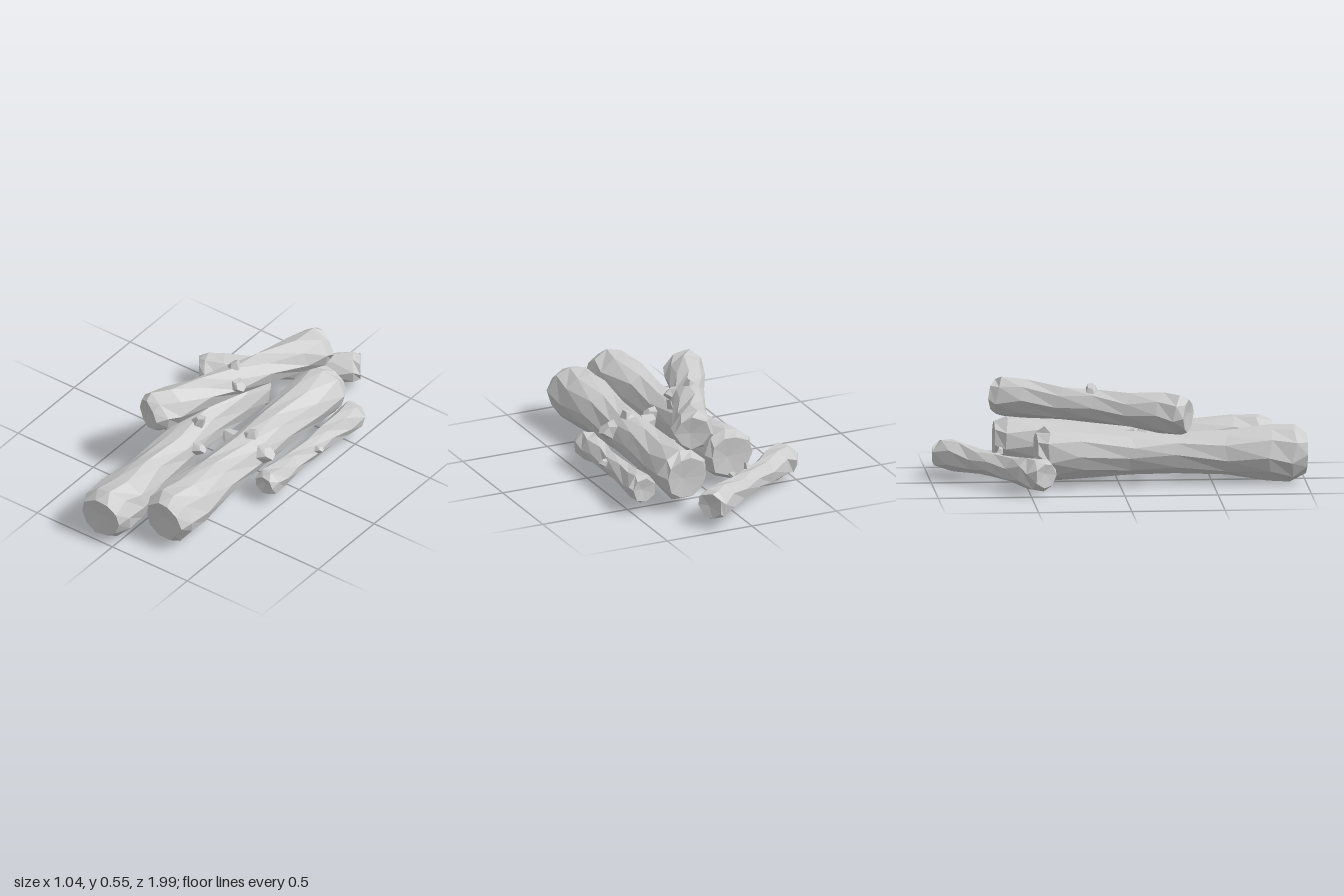
import * as THREE from 'three';

const material = new THREE.MeshStandardMaterial({ color: 0xcccccc, flatShading: true });

function seeded(seed) {
  let s = seed;
  return () => (s = (s * 16807) % 2147483647) / 2147483647;
}

// Local frame of a log: dir runs from its front end to its back end
function frame(a, b) {
  const dir = b.clone().sub(a).normalize();
  const side = new THREE.Vector3().crossVectors(dir, new THREE.Vector3(0, 1, 0)).normalize();
  const up = new THREE.Vector3().crossVectors(side, dir);
  return { dir, side, up };
}

// Rough trunk: [t, radius factor] rings, flared at the chopped ends
const RINGS = [[0, 0.78], [0.05, 1.02], [0.14, 0.99], [0.3, 0.85], [0.48, 0.8],
  [0.65, 0.82], [0.84, 0.92], [0.96, 1.01], [1, 0.83]];

function trunk({ a, b, r0, r1, sides, seed, waist = 1 }) {
  const rnd = seeded(seed * 7919);
  const { dir, side, up } = frame(a, b);
  const length = a.distanceTo(b);
  const flute = Array.from({ length: sides }, () => 0.95 + 0.1 * rnd());
  const pos = [], index = [];
  RINGS.forEach(([t, f], k) => {
    const end = k === 0 || k === RINGS.length - 1;
    const middle = t > 0.2 && t < 0.8;
    const r = THREE.MathUtils.lerp(r0, r1, t) * f * (middle ? waist : 1);
    for (let i = 0; i < sides; i++) {
      const angle = ((i + (k % 2) * 0.3 + (rnd() - 0.5) * 0.25) / sides) * Math.PI * 2;
      const rr = r * flute[i] * (1 + (rnd() - 0.5) * (end ? 0.16 : 0.06));
      const along = t * length + (end ? 0 : (rnd() - 0.5) * 0.03);
      const p = a.clone().addScaledVector(dir, along)
        .addScaledVector(side, Math.cos(angle) * rr).addScaledVector(up, Math.sin(angle) * rr);
      pos.push(p.x, p.y, p.z);
    }
  });
  for (let k = 0; k < RINGS.length - 1; k++) {
    for (let i = 0; i < sides; i++) {
      const j = (i + 1) % sides, p = k * sides, q = p + sides;
      index.push(p + i, q + i, p + j, p + j, q + i, q + j);
    }
  }
  // End caps fan out from an off-centre point
  const front = pos.length / 3, back = front + 1, last = (RINGS.length - 1) * sides;
  const c0 = a.clone().addScaledVector(up, r0 * 0.15).addScaledVector(dir, 0.01);
  const c1 = b.clone().addScaledVector(side, r1 * 0.15).addScaledVector(dir, -0.01);
  pos.push(c0.x, c0.y, c0.z, c1.x, c1.y, c1.z);
  for (let i = 0; i < sides; i++) {
    const j = (i + 1) % sides;
    index.push(front, i, j, back, last + j, last + i);
  }
  const g = new THREE.BufferGeometry();
  g.setAttribute('position', new THREE.Float32BufferAttribute(pos, 3));
  // Winding follows the handedness of side, up and dir
  if (new THREE.Vector3().crossVectors(side, up).dot(dir) > 0) {
    for (let i = 0; i < index.length; i += 3) [index[i + 1], index[i + 2]] = [index[i + 2], index[i + 1]];
  }
  g.setIndex(index);
  g.computeVertexNormals();
  return g;
}

// Broken twig stub sticking out of the bark
function stub(log, { t, angle, size, reach }) {
  const { dir, side, up } = frame(log.a, log.b);
  const out = side.clone().multiplyScalar(Math.cos(angle)).addScaledVector(up, Math.sin(angle));
  const g = new THREE.CylinderGeometry(size * 0.6, size, reach, 5);
  const p = g.attributes.position;
  for (let i = 0; i < p.count; i++) {
    if (p.getY(i) > 0) p.setY(i, p.getY(i) + p.getX(i) * 0.5);
  }
  const mesh = new THREE.Mesh(g, material);
  mesh.name = 'twigStub';
  mesh.quaternion.setFromUnitVectors(new THREE.Vector3(0, 1, 0), out);
  const r = THREE.MathUtils.lerp(log.r0, log.r1, t) * 0.72;
  mesh.position.copy(log.a).addScaledVector(dir, t * log.a.distanceTo(log.b)).addScaledVector(out, r + reach / 2);
  return mesh;
}

const v = (x, y, z) => new THREE.Vector3(x, y, z);

const LOGS = [
  { name: 'leftLog', a: v(-0.075, 0.147, 1), b: v(-0.14, 0.17, -0.45), r0: 0.147, r1: 0.142, sides: 10, seed: 3, waist: 0.93,
    stubs: [{ t: 0.52, angle: 0.3, size: 0.04, reach: 0.05 }, { t: 0.6, angle: 1.2, size: 0.04, reach: 0.05 }] },
  { name: 'centreLog', a: v(0.22, 0.165, 0.84), b: v(0.22, 0.18, -0.65), r0: 0.147, r1: 0.14, sides: 10, seed: 11,
    stubs: [{ t: 0.51, angle: 0.35, size: 0.06, reach: 0.05 }, { t: 0.51, angle: 2.85, size: 0.06, reach: 0.05 },
      { t: 0.52, angle: 1.5, size: 0.045, reach: 0.03 }] },
  { name: 'rightBranch', a: v(0.42, 0.115, 0.21), b: v(0.442, 0.13, -0.59), r0: 0.073, r1: 0.08, sides: 7, seed: 5, waist: 0.95,
    stubs: [{ t: 0.5, angle: 0.4, size: 0.025, reach: 0.03 }] },
  { name: 'rearBranch', a: v(-0.48, 0.102, -0.42), b: v(0.215, 0.12, -0.93), r0: 0.09, r1: 0.088, sides: 7, seed: 8, waist: 0.92,
    stubs: [{ t: 0.47, angle: 1.3, size: 0.02, reach: 0.03 }, { t: 0.55, angle: 0.5, size: 0.025, reach: 0.03 }] },
  { name: 'topLog', a: v(-0.24, 0.377, 0.36), b: v(0.185, 0.43, -0.65), r0: 0.108, r1: 0.11, sides: 8, seed: 14,
    stubs: [{ t: 0.47, angle: 0.35, size: 0.045, reach: 0.04 }, { t: 0.5, angle: 1.7, size: 0.04, reach: 0.035 }] },
];

export function createModel() {
  const model = new THREE.Group();
  model.name = 'logPile';
  for (const log of LOGS) {
    const group = new THREE.Group();
    group.name = log.name;
    const mesh = new THREE.Mesh(trunk(log), material);
    mesh.name = 'trunk';
    group.add(mesh, ...log.stubs.map((s) => stub(log, s)));
    model.add(group);
  }
  return model;
}
